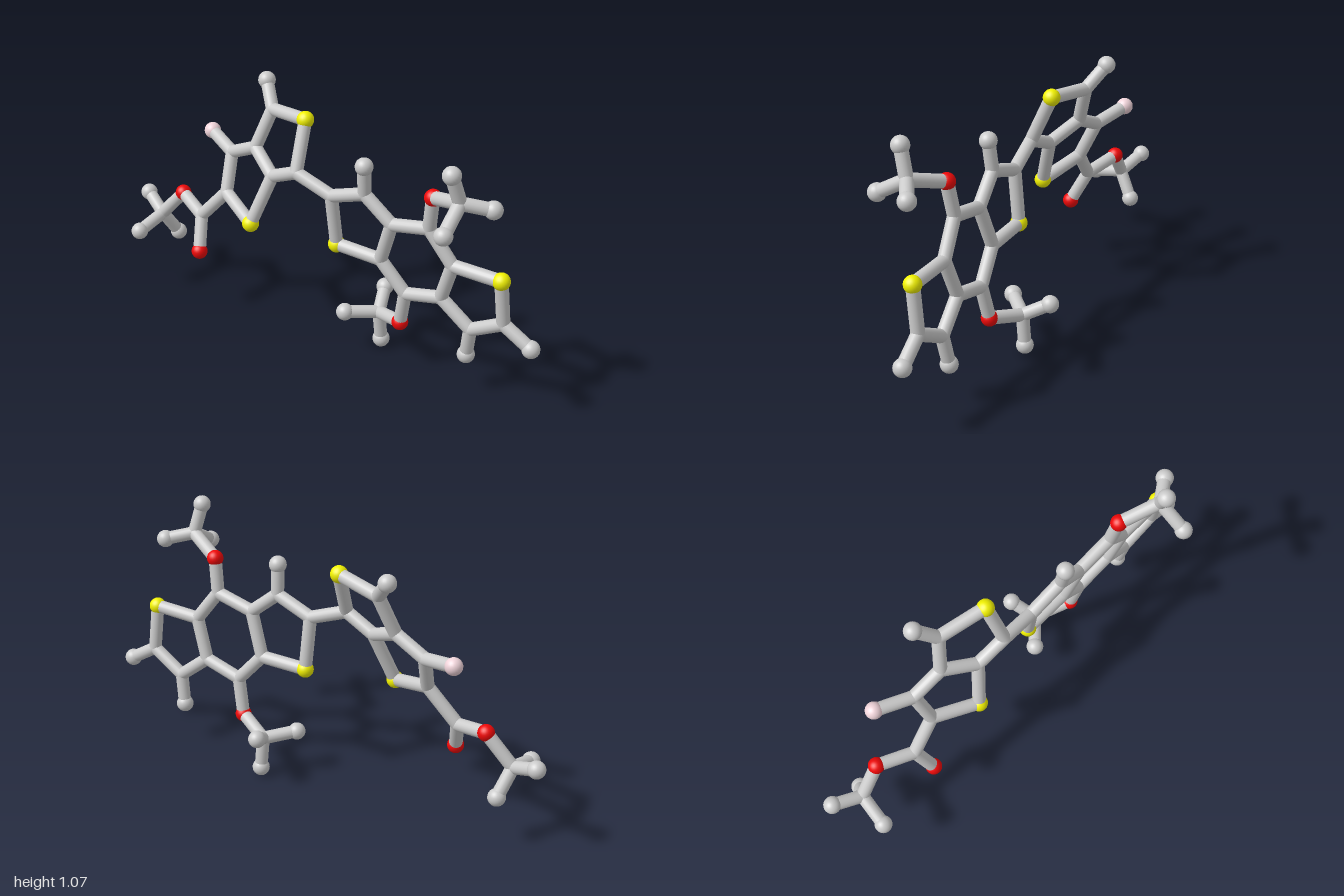
import * as THREE from 'three';

const BOND = 0.027, BALL = 0.036;
const material = (color) => new THREE.MeshStandardMaterial({ color });
const grey = material(0xcccccc), yellow = material(0xf2f200), red = material(0xee0808), pink = material(0xf0d4da);

// Kinds of atom: joints are flush with the rods, the others stand out as balls
const KINDS = {
  joint: { name: 'carbonJoint', radius: BOND, mat: grey },
  tip: { name: 'carbonTip', radius: BALL, mat: grey },
  S: { name: 'sulfurBall', radius: 0.035, mat: yellow },
  O: { name: 'oxygenBall', radius: 0.034, mat: red },
  F: { name: 'fluorineBall', radius: 0.035, mat: pink },
};

// Each flat ring system lies in a tilted plane that gives z from x and y
const rightPlane = (x, y) => 0.365 + 0.28 * x - 0.403 * y;
const leftPlane = (x, y) => -0.064 - 0.014 * x + 0.109 * y;

const rightRings = {
  s1: ['S', -0.10, 0.97], c1: ['joint', -0.30, 0.945], m1: ['tip', -0.37, 1.035],
  c2: ['joint', -0.35, 0.78], c3: ['joint', -0.215, 0.715], c4: ['joint', -0.085, 0.775],
  c5: ['joint', -0.485, 0.715], f1: ['F', -0.635, 0.75], c6: ['joint', -0.465, 0.56],
  s2: ['S', -0.28, 0.505],
};
const esterGroup = {
  e1: ['joint', -0.59, 0.42], o1: ['O', -0.555, 0.285], o2: ['O', -0.74, 0.457],
  e2: ['joint', -0.85, 0.33], e3: ['tip', -0.965, 0.38, -0.05],
  e4: ['tip', -0.865, 0.295, 0.13], e5: ['tip', -0.82, 0.22, -0.07],
};
const leftRings = {
  c7: ['joint', 0.075, 0.715], s3: ['S', 0.085, 0.49], c8: ['joint', 0.235, 0.775],
  m2: ['tip', 0.24, 0.90], c9: ['joint', 0.355, 0.675], c10: ['joint', 0.295, 0.49],
  c11: ['joint', 0.525, 0.715], c12: ['joint', 0.625, 0.58], c13: ['joint', 0.57, 0.41],
  c14: ['joint', 0.405, 0.365], s4: ['S', 0.835, 0.585], c15: ['joint', 0.845, 0.39],
  m3: ['tip', 0.963, 0.317], c16: ['joint', 0.70, 0.305], m4: ['tip', 0.68, 0.175],
};
const upperBranch = {
  o3: ['O', 0.545, 0.86], u1: ['joint', 0.70, 0.915, 0.09], u2: ['tip', 0.68, 1.035, 0.125],
  u3: ['tip', 0.80, 0.89, 0.022], u4: ['tip', 0.71, 0.84, 0.215],
};
const lowerBranch = {
  o4: ['O', 0.375, 0.212], l1: ['joint', 0.23, 0.17, -0.112], l2: ['tip', 0.13, 0.185, -0.01],
  l3: ['tip', 0.19, 0.228, -0.214], l4: ['tip', 0.235, 0.036, -0.125],
};

// Part name, atoms, plane, and chains of rods through the atoms
const PARTS = [
  ['rightRings', rightRings, rightPlane, ['c4 s1 c1 c2 c3 c4', 'c2 c5 c6 s2 c3', 'c1 m1', 'c5 f1']],
  ['esterGroup', esterGroup, rightPlane, ['c6 e1 o2 e2 e3', 'e1 o1', 'e4 e2 e5']],
  ['leftRings', leftRings, leftPlane, ['c4 c7 s3 c10 c9 c8 c7', 'c8 m2', 'c9 c11 c12 c13 c14 c10',
    'c12 s4 c15 c16 c13', 'c15 m3', 'c16 m4']],
  ['upperBranch', upperBranch, leftPlane, ['c11 o3 u1 u2', 'u3 u1 u4']],
  ['lowerBranch', lowerBranch, leftPlane, ['c14 o4 l1 l2', 'l3 l1 l4']],
];

function rod(a, b) {
  const dir = b.clone().sub(a);
  const mesh = new THREE.Mesh(new THREE.CylinderGeometry(BOND, BOND, dir.length(), 20, 1, true), grey);
  mesh.name = 'bondRod';
  mesh.position.copy(a).add(b).multiplyScalar(0.5);
  mesh.quaternion.setFromUnitVectors(new THREE.Vector3(0, 1, 0), dir.normalize());
  return mesh;
}

export function createModel() {
  const model = new THREE.Group();
  model.name = 'molecule';
  const at = {};
  for (const [name, atoms, plane, chains] of PARTS) {
    const part = new THREE.Group();
    part.name = name;
    // Balls and joints
    for (const [id, [kind, x, y, z = plane(x, y)]] of Object.entries(atoms)) {
      const { name: label, radius, mat } = KINDS[kind];
      const ball = new THREE.Mesh(new THREE.SphereGeometry(radius, 24, 16), mat);
      ball.name = label;
      ball.position.set(x, y, z);
      at[id] = ball.position;
      part.add(ball);
    }
    // Rods
    for (const chain of chains) {
      const ids = chain.split(' ');
      for (let i = 1; i < ids.length; i++) part.add(rod(at[ids[i - 1]], at[ids[i]]));
    }
    model.add(part);
  }
  return model;
}
